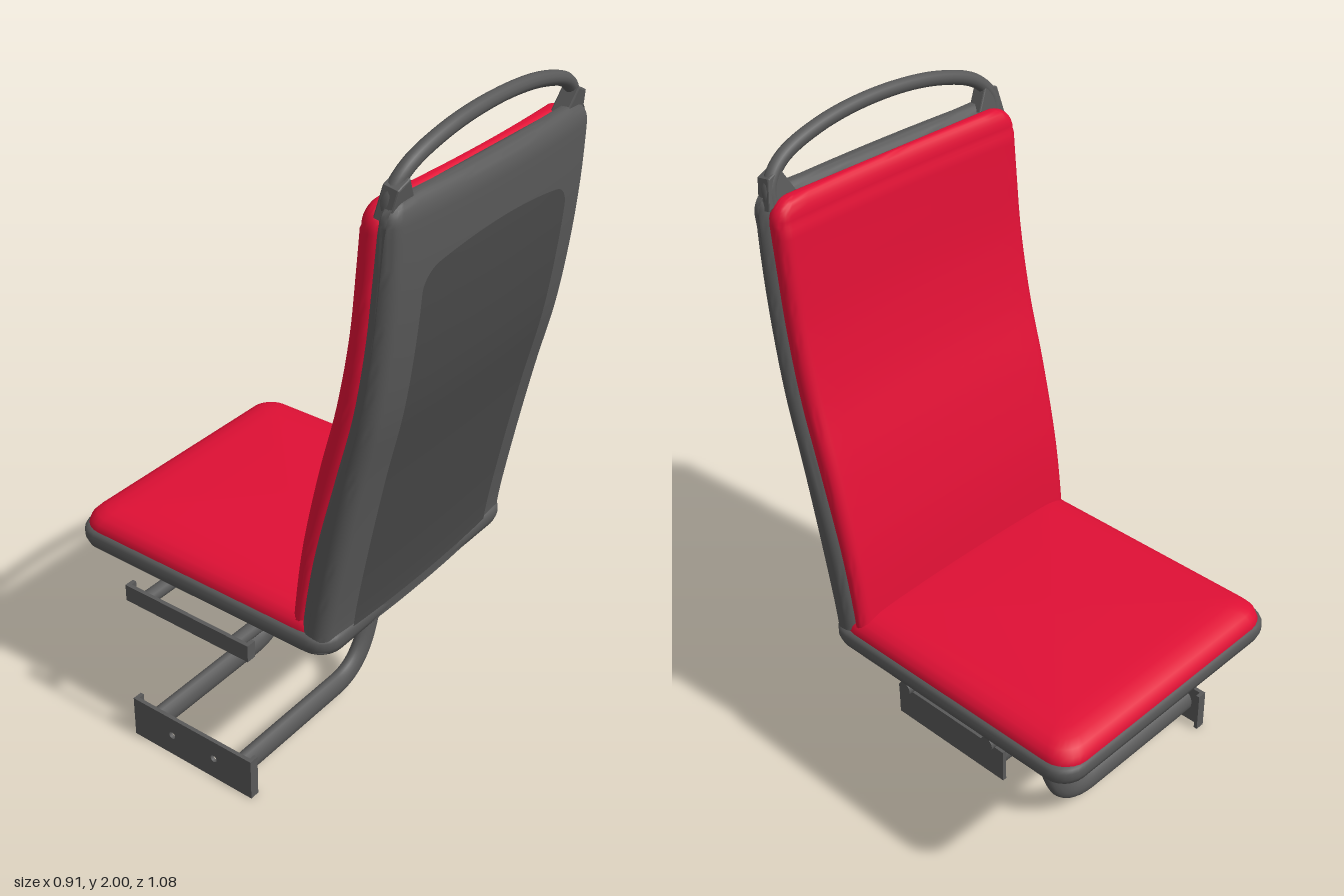
import * as THREE from 'three';
import { toCreasedNormals } from 'three/addons/utils/BufferGeometryUtils.js';

const grey = new THREE.MeshStandardMaterial({ color: 0x595959 });
const dark = new THREE.MeshStandardMaterial({ color: 0x4a4a4a });
const red = new THREE.MeshStandardMaterial({ color: 0xe01035 });

const V = (x, y, z = 0) => new THREE.Vector3(x, y, z);

function add(parent, name, geometry, material, x = 0, y = 0, z = 0) {
  const mesh = new THREE.Mesh(geometry, material);
  mesh.name = name;
  mesh.position.set(x, y, z);
  parent.add(mesh);
  return mesh;
}

// Horizontal rounded rectangle, counter-clockwise from above; z0/z1 sides may bow by b0/b1
function ring({ y, w, z0, z1, r, b0 = 0, b1 = 0 }) {
  const pts = [], n = 6, m = 14;
  const corners = [[w - r, z0 + r], [r - w, z0 + r], [r - w, z1 - r], [w - r, z1 - r]];
  corners.forEach(([cx, cz], k) => {
    for (let i = 0; i <= n; i++) {
      const a = (k + i / n) * Math.PI / 2;
      pts.push([cx + r * Math.cos(a), cz - r * Math.sin(a)]);
    }
    if (k % 2 === 0) {
      for (let i = 1; i < m; i++) {
        const s = 1 - 2 * i / m;
        pts.push([(k ? -1 : 1) * (w - r) * s, k ? z1 : z0]);
      }
    }
  });
  const mid = (z0 + z1) / 2;
  return pts.map(([x, z]) => {
    const f = 1 - (x / w) ** 2;
    return V(x, y, z + (z < mid ? b0 : b1) * f);
  });
}

// Skin a stack of rings, closed at both ends
function loft(specs) {
  const rings = specs.map(ring), n = rings[0].length, pos = [], idx = [];
  rings.flat().forEach(p => pos.push(p.x, p.y, p.z));
  for (let i = 0; i < rings.length - 1; i++) {
    for (let j = 0; j < n; j++) {
      const k = (j + 1) % n, a = i * n, b = a + n;
      idx.push(a + j, a + k, b + k, a + j, b + k, b + j);
    }
  }
  [0, rings.length - 1].forEach((row, end) => {
    const c = rings[row].reduce((s, p) => s.add(p), V(0, 0)).divideScalar(n);
    const ci = pos.length / 3;
    pos.push(c.x, c.y, c.z);
    for (let j = 0; j < n; j++) {
      const a = row * n + j, b = row * n + (j + 1) % n;
      if (end) idx.push(ci, a, b); else idx.push(ci, b, a);
    }
  });
  const g = new THREE.BufferGeometry();
  g.setAttribute('position', new THREE.Float32BufferAttribute(pos, 3));
  g.setIndex(idx);
  return toCreasedNormals(g, 0.9);
}

// Backrest side profile: height, cushion face, seam, rear face
const profile = [
  [0.56, 0.213, 0.25, 0.335], [0.65, 0.22, 0.257, 0.345], [0.85, 0.245, 0.29, 0.38],
  [1.1, 0.297, 0.352, 0.43], [1.3, 0.348, 0.403, 0.475], [1.5, 0.383, 0.435, 0.503],
  [1.66, 0.398, 0.45, 0.516], [1.8, 0.409, 0.462, 0.52],
];
const BOW = 0.018;

// Rings along columns f (front) and b (rear) of the profile, rounded off at the top
function backRows(f, b, base, top, round, depth) {
  const curve = new THREE.CatmullRomCurve3(profile.map(p => V(p[0], p[f], p[b])));
  const rows = [];
  for (let i = 0; i <= 40; i++) {
    const p = curve.getPoint(i / 40);
    if (p.x < top - round - 0.005) rows.push({ ...base, y: p.x, z0: p.y, z1: p.z });
  }
  const last = rows[rows.length - 1];
  for (let i = 0; i <= 8; i++) {
    const a = i / 8 * Math.PI / 2, s = 1 - Math.cos(a);
    rows.push({ ...base, y: top - round + round * Math.sin(a), w: base.w - round * s,
      z0: last.z0 + 0.004 + depth * s, z1: last.z1 - depth * 0.8 * s,
      r: base.r * (1 - 0.65 * s), b1: (base.b1 || 0) * (1 - s * 0.6) });
  }
  return rows;
}

function createBackrest() {
  const back = new THREE.Group();
  back.name = 'backrest';
  const rows = backRows(2, 3, { w: 0.421, r: 0.036, b1: BOW }, 1.857, 0.055, 0.03);
  add(back, 'backShell', loft(rows), grey);

  const cushion = profile.map(p => p[2] + 0.02);
  profile.forEach((p, i) => { p[4] = cushion[i]; });
  add(back, 'backCushion', loft(backRows(1, 4, { w: 0.412, r: 0.034, b0: 0.013 }, 1.845, 0.06, 0.03)), red);

  // Arched panel following the rear face
  const rearZ = (x, y) => {
    const i = Math.max(1, rows.findIndex(q => q.y >= y)), p = rows[i - 1], q = rows[i];
    return THREE.MathUtils.lerp(p.z1, q.z1, (y - p.y) / (q.y - p.y)) + BOW * (1 - (x / 0.421) ** 2);
  };
  const panel = new THREE.PlaneGeometry(2, 1, 40, 48), pos = panel.attributes.position;
  for (let i = 0; i < pos.count; i++) {
    const u = Math.sin(pos.getX(i) * Math.PI / 2), s = Math.max(0, (Math.abs(u) - 0.82) / 0.18);
    const top = 1.7 - 0.035 * u * u - 0.05 * (1 - Math.sqrt(Math.max(0, 1 - s * s)));
    const x = 0.309 * u, y = THREE.MathUtils.lerp(0.6, top, pos.getY(i) + 0.5);
    pos.setXYZ(i, x, y, rearZ(x, y) + 0.003);
  }
  panel.computeVertexNormals();
  add(back, 'rearPanel', panel, dark);

  // Grab handle arching over the top, with a gusset at each end
  const leanZ = y => 0.475 + (y - 1.83) * 0.18;
  const half = [[0.385, 1.81], [0.382, 1.865], [0.335, 1.918], [0.2, 1.963]];
  const pts = [...half.map(([x, y]) => [-x, y]), [0, 1.981], ...half.slice().reverse()];
  const path = new THREE.CatmullRomCurve3(pts.map(([x, y]) => V(x, y, leanZ(y))));
  add(back, 'grabHandle', new THREE.TubeGeometry(path, 64, 0.019, 12), grey);
  for (const s of [-1, 1]) {
    const tri = new THREE.Shape([[0.405, 1.82], [0.322, 1.845], [0.355, 1.905], [0.39, 1.89]]
      .map(([x, y]) => new THREE.Vector2(s * x, y - 1.83)));
    const g = new THREE.ExtrudeGeometry(tri, { depth: 0.036, bevelSize: 0.004, bevelThickness: 0.004, bevelSegments: 2 });
    add(back, 'handleGusset', g, grey, 0, 1.83, 0.462).rotation.x = 0.17;
  }
  return back;
}

function createSeat() {
  const seat = new THREE.Group();
  seat.name = 'seat';
  const stack = (list, z0, z1, w, r) => loft(list.map(([y, d]) =>
    ({ y, w: w - d, z0: z0 + d, z1: z1 - d, r: Math.max(0.03, r - d * 0.5) })));
  add(seat, 'seatPan', stack([[0.53, 0.07], [0.534, 0.045], [0.543, 0.022], [0.556, 0.007],
    [0.575, 0], [0.595, 0], [0.605, 0.004], [0.61, 0.012]], -0.539, 0.353, 0.431, 0.07), grey);
  add(seat, 'seatCushion', stack([[0.59, 0.006], [0.612, 0.005], [0.63, 0.011], [0.645, 0.025],
    [0.656, 0.048], [0.662, 0.078], [0.665, 0.12]], -0.537, 0.33, 0.425, 0.075), red);
  return seat;
}

// Mounting plate in the z-y plane with round holes, folded at both ends
function createWallPlate(name, y0, y1, holes) {
  const g = new THREE.Group();
  g.name = name;
  const shape = new THREE.Shape([[-0.135, y0], [0.3, y0], [0.3, y1], [-0.135, y1]]
    .map(p => new THREE.Vector2(...p)));
  for (const [x, y] of holes) shape.holes.push(new THREE.Path().absarc(x, y, 0.011, 0, Math.PI * 2, true));
  const geo = new THREE.ExtrudeGeometry(shape, { depth: 0.012, bevelEnabled: false });
  add(g, 'plate', geo, grey, -0.458).rotation.y = Math.PI / 2;
  for (const z of [0.129, -0.294])
    add(g, 'foldedEnd', new THREE.BoxGeometry(0.03, y1 - y0, 0.012), grey, -0.443, (y0 + y1) / 2, z);
  return g;
}

function createFrame() {
  const frame = new THREE.Group();
  frame.name = 'supportFrame';
  const leg = new THREE.CurvePath();
  leg.add(new THREE.LineCurve3(V(-0.45, 0.07), V(0, 0.07)));
  leg.add(new THREE.QuadraticBezierCurve3(V(0, 0.07), V(0.113, 0.07), V(0.155, 0.19)));
  leg.add(new THREE.LineCurve3(V(0.155, 0.19), V(0.218, 0.368)));
  leg.add(new THREE.QuadraticBezierCurve3(V(0.218, 0.368), V(0.245, 0.445), V(0.32, 0.445)));
  leg.add(new THREE.LineCurve3(V(0.32, 0.445), V(0.4, 0.445)));
  for (const z of [0.077, -0.235]) {
    // Oval leg tube
    add(frame, 'legTube', new THREE.TubeGeometry(leg, 80, 0.037, 16), grey, 0, 0, z).scale.z = 0.68;
    // Rail under the seat with its bolts
    add(frame, 'seatRail', new THREE.CylinderGeometry(0.021, 0.021, 0.88, 16), grey, -0.012, 0.51, z).rotation.z = Math.PI / 2;
    for (const x of [-0.175, 0.275])
      add(frame, 'railBolt', new THREE.CylinderGeometry(0.009, 0.009, 0.05, 10), grey, x, 0.508, z);
  }
  // Angle bracket joining legs and rails
  add(frame, 'bracketPlate', new THREE.BoxGeometry(0.012, 0.1, 0.396), grey, 0.402, 0.438, -0.078);
  add(frame, 'bracketFlange', new THREE.BoxGeometry(0.13, 0.01, 0.396), grey, 0.343, 0.485, -0.078);
  frame.add(createWallPlate('lowerWallPlate', 0, 0.132, [[0, 0.07], [0.155, 0.07]]));
  frame.add(createWallPlate('upperWallPlate', 0.484, 0.536, []));
  return frame;
}

export function createModel() {
  const model = new THREE.Group();
  model.name = 'passengerSeat';
  const seat = createSeat(), back = createBackrest();
  seat.position.x = back.position.x = 0.023;
  model.add(seat, back, createFrame());
  return model;
}
